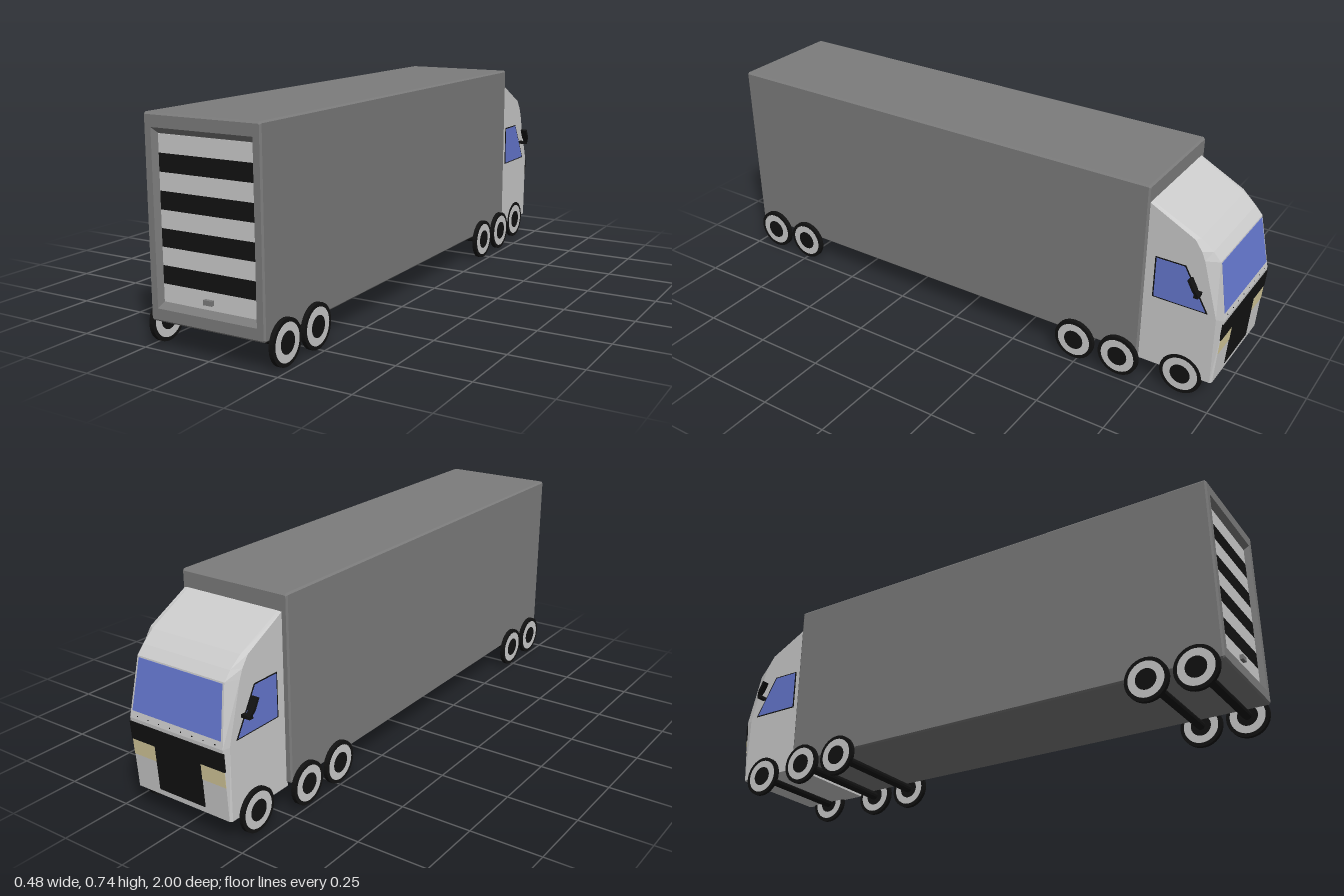
import * as THREE from 'three';

const mat = (color) => new THREE.MeshStandardMaterial({ color, flatShading: true });
const GREY = mat(0xcccccc), BODY = mat(0x7c7c7c), BLACK = mat(0x121212), GLASS = mat(0x6678d0), LAMP = mat(0xd8cc9c);

function add(parent, name, geometry, material, x = 0, y = 0, z = 0) {
  const mesh = new THREE.Mesh(geometry, material);
  mesh.name = name;
  mesh.position.set(x, y, z);
  parent.add(mesh);
  return mesh;
}

// Closed skin over a list of rings that all have the same number of points
function loft(rings) {
  const n = rings[0].length, index = [], last = (rings.length - 1) * n;
  for (let i = 0; i < rings.length - 1; i++) {
    for (let j = 0; j < n; j++) {
      const a = i * n + j, b = i * n + (j + 1) % n;
      index.push(a, b, b + n, a, b + n, a + n);
    }
  }
  for (let j = 1; j < n - 1; j++) {
    index.push(0, j + 1, j, last, last + j, last + j + 1);
  }
  const g = new THREE.BufferGeometry();
  g.setAttribute('position', new THREE.Float32BufferAttribute(rings.flat(2), 3));
  g.setIndex(index);
  const flat = g.toNonIndexed();
  flat.computeVertexNormals();
  return flat;
}

// Rectangle with cut corners at depth z
function rectRing(z, h, y0, y1, c) {
  return [
    [h - c, y0, z], [h, y0 + c, z], [h, y1 - c, z], [h - c, y1, z],
    [-h + c, y1, z], [-h, y1 - c, z], [-h, y0 + c, z], [-h + c, y0, z],
  ];
}

// Cab levels: height, front z, front half width, z of the side corner
const LEVELS = [
  [0.08, -0.985, 0.192, -0.978],
  [0.33, -1.0, 0.193, -0.975],
  [0.53, -0.962, 0.178, -0.918],
  [0.56, -0.935, 0.178, -0.905],
  [0.595, -0.89, 0.18, -0.88],
  [0.68, -0.72, 0.185, -0.717],
];
const CAB_HALF = 0.199, CAB_BACK = -0.715;

// Front z and half width of the cab at a given height
function cabFront(y) {
  let i = 0;
  while (i < LEVELS.length - 2 && y > LEVELS[i + 1][0]) i++;
  const [a, b] = [LEVELS[i], LEVELS[i + 1]];
  const t = (y - a[0]) / (b[0] - a[0]);
  return [THREE.MathUtils.lerp(a[1], b[1], t), THREE.MathUtils.lerp(a[2], b[2], t)];
}

// Thin panel that follows the cab front; u runs from -1 to 1 across it
function frontPanel(parent, name, material, u0, u1, y0, y1, thick = 0.003) {
  const g = new THREE.BoxGeometry(u1 - u0, y1 - y0, thick);
  g.translate((u0 + u1) / 2, (y0 + y1) / 2, 0);
  const p = g.attributes.position;
  for (let i = 0; i < p.count; i++) {
    const [z, half] = cabFront(p.getY(i));
    p.setX(i, p.getX(i) * half);
    p.setZ(i, p.getZ(i) + z);
  }
  g.computeVertexNormals();
  add(parent, name, g, material);
}

// Thin panel on the cab side, outlined by [z, y] points
function sidePanel(parent, name, material, side, points, depth) {
  const shape = new THREE.Shape(points.map(([z, y]) => new THREE.Vector2(-z, y)));
  const g = new THREE.ExtrudeGeometry(shape, { depth, bevelEnabled: false });
  g.rotateY(Math.PI / 2);
  add(parent, name, g, material, side > 0 ? CAB_HALF : -CAB_HALF - depth);
}

function makeTrailer() {
  const trailer = new THREE.Group();
  trailer.name = 'trailer';
  // Box body with bevelled edges and a sunken door opening
  add(trailer, 'trailerBody', loft([
    rectRing(-0.72, 0.209, 0.1, 0.733, 0.003),
    rectRing(-0.714, 0.214, 0.093, 0.74, 0.006),
    rectRing(0.994, 0.214, 0.093, 0.74, 0.006),
    rectRing(1.0, 0.209, 0.099, 0.733, 0.003),
    rectRing(1.0, 0.186, 0.135, 0.695, 0.0005),
    rectRing(0.98, 0.174, 0.154, 0.676, 0.0005),
  ]), BODY);
  // Striped roller door
  const step = 0.0578;
  for (let i = 0; i < 9; i++) {
    add(trailer, 'doorSlat', new THREE.BoxGeometry(0.346, step, 0.006), i % 2 ? BLACK : GREY,
      0, 0.155 + step * (i + 0.5), 0.98);
  }
  add(trailer, 'doorHandle', new THREE.BoxGeometry(0.032, 0.016, 0.014), BODY, 0.002, 0.18, 0.988);
  return trailer;
}

function makeAxle(z, outer, width) {
  const axle = new THREE.Group();
  axle.name = 'axle';
  const disc = (name, r, w, material, x, sides = 32) =>
    add(axle, name, new THREE.CylinderGeometry(r, r, w, sides).rotateZ(Math.PI / 2), material, x);
  disc('axleBeam', 0.016, 2 * outer - width, BLACK, 0, 12);
  for (const side of [1, -1]) {
    const x = side * (outer - width / 2);
    disc('tyre', 0.075, width - 0.003, BLACK, x);
    disc('rim', 0.062, width - 0.001, GREY, x);
    disc('hub', 0.036, width + 0.001, BLACK, x);
  }
  axle.position.set(0, 0.075, z);
  return axle;
}

function makeMirror(side) {
  const mirror = new THREE.Group();
  mirror.name = side > 0 ? 'leftMirror' : 'rightMirror';
  const outline = [[-0.012, 0.035], [-0.012, -0.005], [-0.005, -0.03], [0.005, -0.03], [0.012, -0.005], [0.012, 0.035]];
  const g = new THREE.ExtrudeGeometry(
    new THREE.Shape(outline.map(([x, y]) => new THREE.Vector2(x, y))), { depth: 0.01, bevelEnabled: false });
  g.translate(0, 0, -0.005);
  add(mirror, 'mirrorHousing', g, BLACK, side * 0.228, 0.44, -0.903).rotation.x = 0.5;
  add(mirror, 'mirrorArm', new THREE.BoxGeometry(0.036, 0.011, 0.016), BLACK, side * 0.214, 0.412, -0.912);
  return mirror;
}

function makeCab() {
  const cab = new THREE.Group();
  cab.name = 'cab';
  add(cab, 'cabShell', loft(LEVELS.map(([y, zf, xf, zc]) => [
    [CAB_HALF, y, CAB_BACK], [CAB_HALF, y, zc], [xf, y, zf],
    [-xf, y, zf], [-CAB_HALF, y, zc], [-CAB_HALF, y, CAB_BACK],
  ])), GREY);

  // Windscreen, black band, lamps and grille
  frontPanel(cab, 'windscreen', GLASS, -0.96, 0.96, 0.355, 0.525);
  frontPanel(cab, 'frontBand', BLACK, -1.01, 1.01, 0.255, 0.318, 0.006);
  frontPanel(cab, 'grille', BLACK, -0.5, 0.5, 0.1, 0.255, 0.004);
  for (const side of [1, -1]) {
    frontPanel(cab, 'headlamp', LAMP, side * 0.75 - 0.25, side * 0.75 + 0.25, 0.2, 0.255);
  }
  for (let i = 0; i < 8; i++) {
    const u = -0.84 + i * 0.24;
    frontPanel(cab, 'rivet', BLACK, u - 0.008, u + 0.008, 0.338, 0.341);
  }

  // Side windows and mirrors
  for (const side of [1, -1]) {
    sidePanel(cab, 'windowFrame', BLACK, side, [[-0.752, 0.494], [-0.858, 0.494], [-0.946, 0.341], [-0.752, 0.341]], 0.0015);
    sidePanel(cab, 'sideWindow', GLASS, side, [[-0.757, 0.49], [-0.855, 0.49], [-0.938, 0.345], [-0.757, 0.345]], 0.0025);
    cab.add(makeMirror(side));
  }
  return cab;
}

export function createModel() {
  const truck = new THREE.Group();
  truck.name = 'truck';
  const rear = new THREE.Group();
  rear.name = 'trailerAndAxles';
  rear.position.x = -0.006;
  rear.add(makeTrailer());
  for (const z of [0.915, 0.75, -0.485, -0.655]) rear.add(makeAxle(z, 0.235, 0.018));
  rear.add(makeAxle(-0.875, 0.208, 0.016));
  truck.add(rear, makeCab());
  return truck;
}
